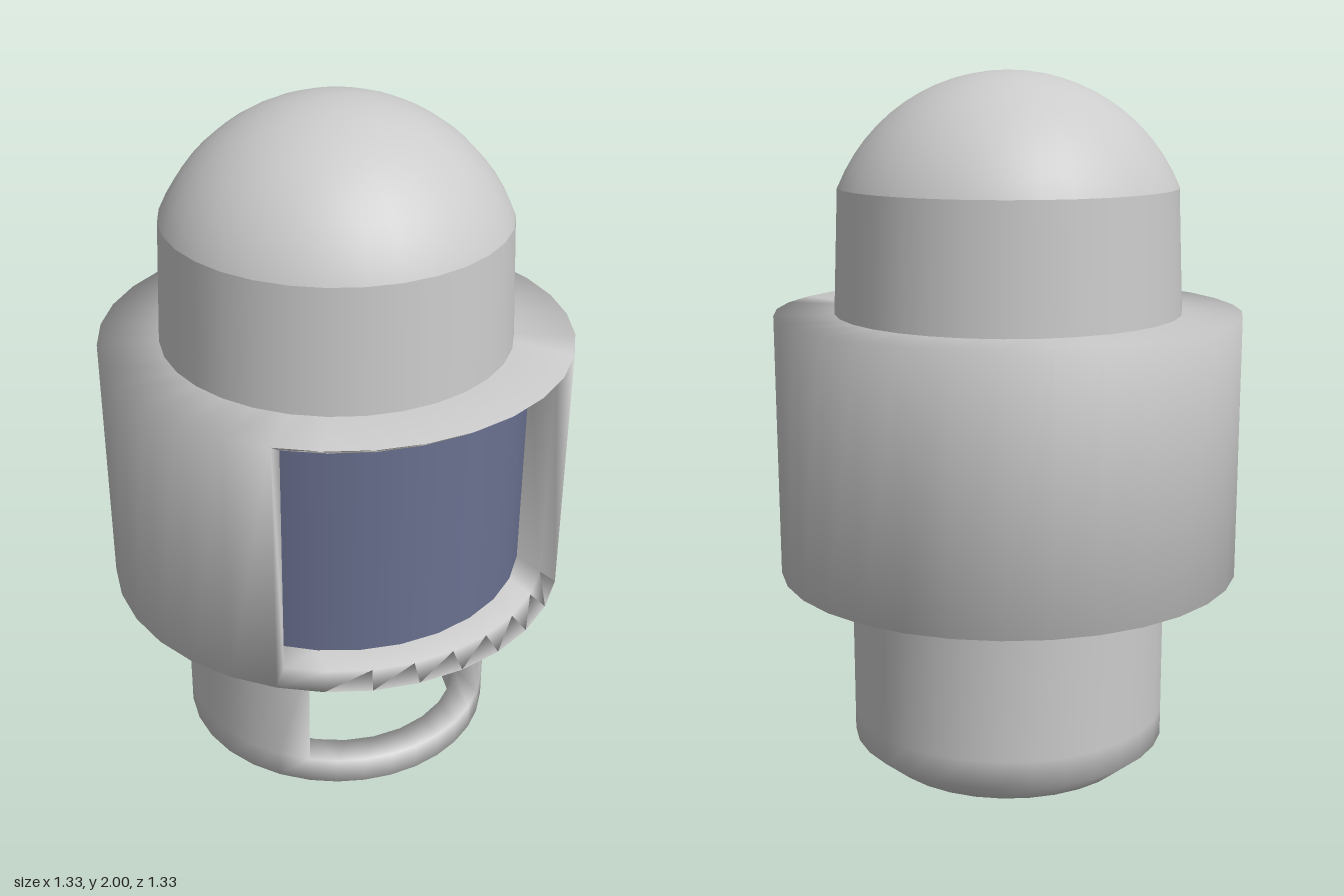
import * as THREE from 'three';
import { mergeVertices } from 'three/addons/utils/BufferGeometryUtils.js';

const WINDOW_SEGS = 8;
const REST_SEGS = 24;

const polar = (r, y, a) => [r * Math.sin(a), y, r * Math.cos(a)];

// Angles around a ring: first the window span (-a..a), then the rest of the circle
function ringAngles(a) {
  const list = [];
  for (let i = 0; i < WINDOW_SEGS; i++) list.push(-a + (2 * a * i) / WINDOW_SEGS);
  for (let i = 0; i <= REST_SEGS; i++) list.push(a + ((2 * Math.PI - 2 * a) * i) / REST_SEGS);
  return list;
}

// Perimeter of a curved rectangular opening on a cylinder
function openingLoop({ r, y0, y1, a }) {
  const bottom = [], top = [];
  for (let i = 0; i <= WINDOW_SEGS; i++) {
    const t = -a + (2 * a * i) / WINDOW_SEGS;
    bottom.push(polar(r, y0, t));
    top.unshift(polar(r, y1, t));
  }
  return [...bottom, ...top, bottom[0]];
}

// Turned shell from rows [radius, y, windowHalfAngle], with a window left out of
// the listed bands and the reveal of the window built through the given loops
function windowedShell(rows, openBands, loops) {
  const pos = [];
  const quad = (a, b, c, d) => pos.push(...a, ...b, ...c, ...a, ...c, ...d);
  const rings = rows.map(([r, y, a]) => ringAngles(a).map((t) => polar(r, y, t)));
  for (let i = 0; i < rings.length - 1; i++) {
    const [p, q] = [rings[i], rings[i + 1]];
    for (let j = 0; j < p.length - 1; j++) {
      if (openBands.includes(i) && j < WINDOW_SEGS) continue;
      quad(p[j], p[j + 1], q[j + 1], q[j]);
    }
  }
  const edges = loops.map(openingLoop);
  for (let i = 0; i < edges.length - 1; i++) {
    const [p, q] = [edges[i], edges[i + 1]];
    for (let j = 0; j < p.length - 1; j++) quad(p[j], p[j + 1], q[j + 1], q[j]);
  }
  let geo = new THREE.BufferGeometry();
  geo.setAttribute('position', new THREE.Float32BufferAttribute(pos, 3));
  geo = mergeVertices(geo, 1e-4);
  geo.computeVertexNormals();
  return geo;
}

export function createModel() {
  const model = new THREE.Group();
  const grey = new THREE.MeshStandardMaterial({ color: 0xcccccc, side: THREE.DoubleSide });
  const dark = new THREE.MeshStandardMaterial({ color: 0x6a7090, side: THREE.DoubleSide });
  const add = (name, geo, mat = grey, y = 0) => {
    const mesh = new THREE.Mesh(geo, mat);
    mesh.name = name;
    mesh.position.y = y;
    model.add(mesh);
  };

  // Domed cap on a slightly tapered collar
  const capR = 0.52, capY = 1.48;
  add('domeCap', new THREE.SphereGeometry(capR, 32, 12, 0, Math.PI * 2, 0, Math.acos(0.2 / capR)), grey, capY);
  add('domeCollar', new THREE.CylinderGeometry(0.48, 0.495, 0.35, 32, 1, true), grey, 1.505);

  // Wide drum with a softly bevelled screen recess
  const q = Math.PI / 4;
  const screenR = 0.545, screenA = Math.asin(0.41 / screenR);
  add('drum', windowedShell(
    [[0.35, 0.58, q], [0.665, 0.58, q], [0.665, 1.33, q], [0.4, 1.33, q]],
    [1],
    [
      { r: 0.665, y0: 0.58, y1: 1.33, a: q },
      { r: 0.62, y0: 0.613, y1: 1.297, a: Math.asin(0.432 / 0.62) },
      { r: screenR, y0: 0.625, y1: 1.285, a: screenA },
    ],
  ));

  // Curved screen at the back of the recess
  add('screen', new THREE.CylinderGeometry(screenR, screenR, 0.66, WINDOW_SEGS, 1, true, -screenA, 2 * screenA), dark, 0.955);

  // Hollow neck, open below, with a front opening through its wall
  const inR = 0.37, outR = 0.46, y0 = 0.15, y1 = 0.52;
  const inA = Math.asin(0.3 / inR), outA = Math.asin(0.3 / outR);
  add('neck', windowedShell(
    [
      [0, 0.57, inA], [inR, 0.57, inA], [inR, y1, inA], [inR, y0, inA], [0.36, 0.01, inA],
      [0.375, 0, outA], [outR, 0.07, outA], [outR, y0, outA], [outR, y1, outA], [outR, 0.58, outA],
    ],
    [2, 7],
    [{ r: outR, y0, y1, a: outA }, { r: inR, y0, y1, a: inA }],
  ));

  return model;
}
